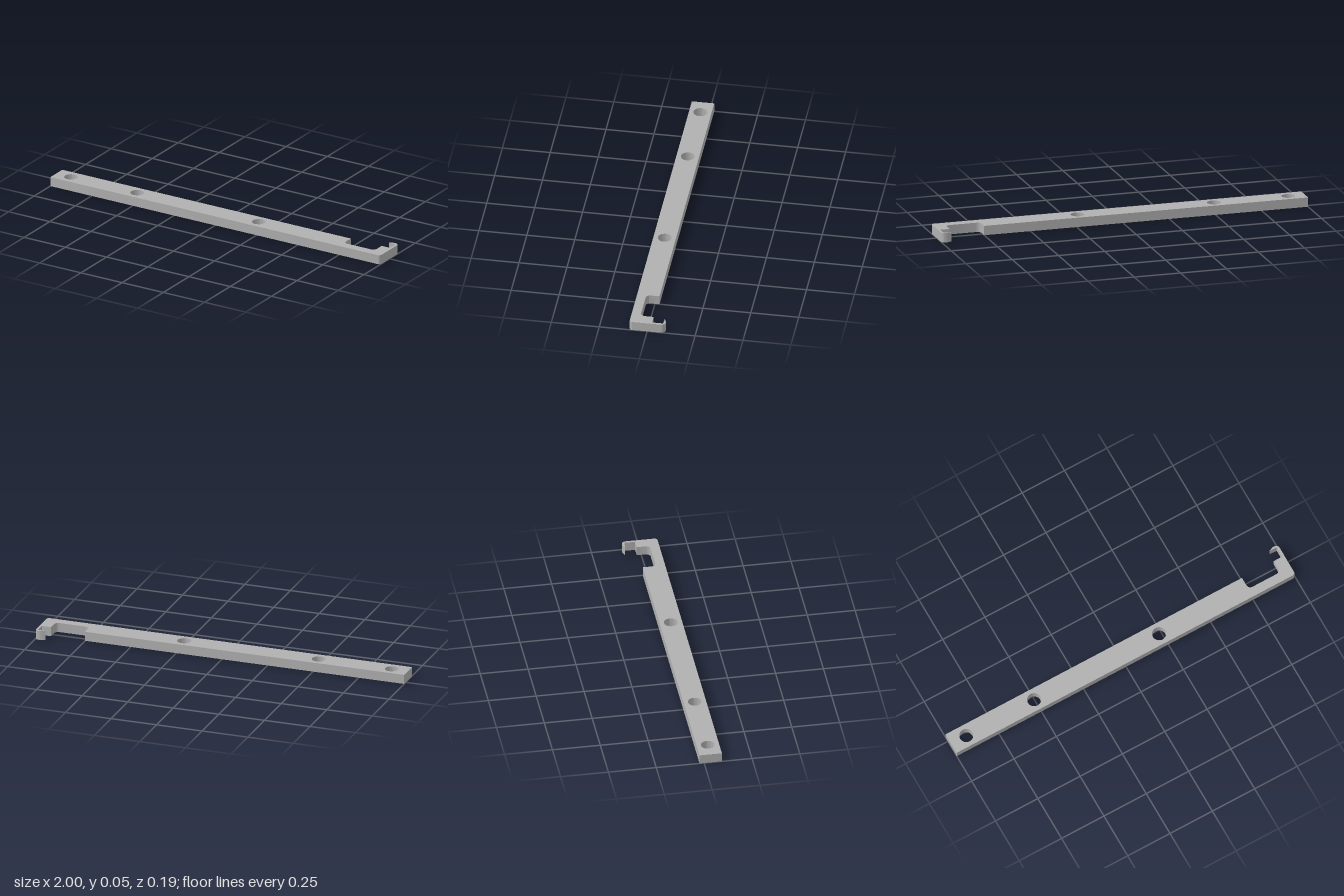
import * as THREE from 'three';
import { toCreasedNormals } from 'three/addons/utils/BufferGeometryUtils.js';

export function createModel() {
  const group = new THREE.Group();
  const grey = new THREE.MeshStandardMaterial({ color: 0xb0b0b0 });
  grey.name = 'grey';

  // Plan outline, drawn with shape y = -z
  const s = new THREE.Shape();
  s.moveTo(-1, -0.093);
  s.lineTo(0.985, -0.093);
  s.absarc(0.985, -0.078, 0.015, -Math.PI / 2, 0, false);
  // Thin arm and barbed hook
  s.lineTo(1, 0.073);
  s.absarc(0.98, 0.073, 0.02, 0, Math.PI / 2, false);
  s.lineTo(0.97, 0.093);
  s.lineTo(0.945, 0.083);
  s.lineTo(0.987, 0.081);
  s.lineTo(0.987, 0.024);
  s.lineTo(0.937, 0.024);
  // Notch with rounded inner corners
  s.lineTo(0.937, -0.022);
  s.absarc(0.914, -0.022, 0.023, 0, -Math.PI / 2, true);
  s.lineTo(0.773, -0.045);
  s.absarc(0.773, -0.022, 0.023, -Math.PI / 2, -Math.PI, true);
  s.lineTo(0.75, 0.024);
  s.lineTo(-1, 0.024);
  s.closePath();

  // Screw holes
  for (const x of [-0.911, -0.51, 0.228]) {
    const hole = new THREE.Path();
    hole.absarc(x, -0.034, 0.036, 0, Math.PI * 2, true);
    s.holes.push(hole);
  }

  const solid = new THREE.ExtrudeGeometry(s, { depth: 0.05, bevelEnabled: false, curveSegments: 16 });
  solid.rotateX(-Math.PI / 2);
  const bar = new THREE.Mesh(toCreasedNormals(solid, 0.5), grey);
  bar.name = 'hookedBar';
  group.add(bar);
  return group;
}
